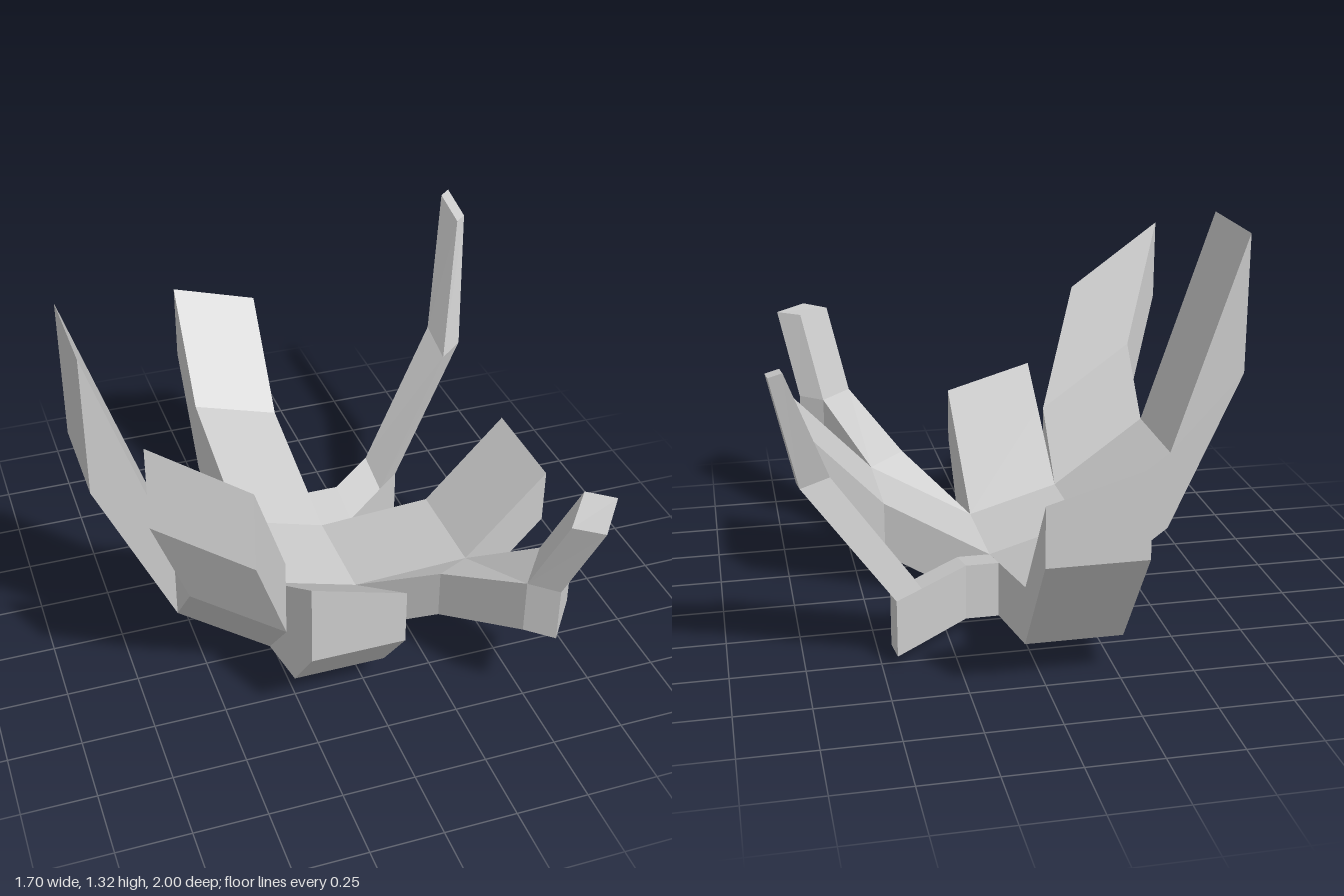
import * as THREE from 'three';

const material = new THREE.MeshStandardMaterial({ color: 0xcccccc, flatShading: true });

// Upright four-corner section: two plan positions, each with a bottom and top height
const section = (x0, z0, x1, z1, b0, t0, b1 = b0, t1 = t0) =>
  [[x0, b0, z0], [x1, b1, z1], [x1, t1, z1], [x0, t0, z0]];

// Skins a run of four-corner sections; the end is capped, the start only on request
function loft(name, rings, capStart = false) {
  const tris = [];
  const quad = (a, b, c, d) => tris.push([a, b, c], [a, c, d]);
  for (let r = 0; r < rings.length - 1; r++) {
    for (let i = 0; i < 4; i++) {
      const j = (i + 1) % 4;
      quad(rings[r][i], rings[r][j], rings[r + 1][j], rings[r + 1][i]);
    }
  }
  quad(...rings[rings.length - 1]);
  quad(...[...rings[0]].reverse());

  // Turn all faces outward using the sign of the enclosed volume
  const v = (p) => new THREE.Vector3(...p);
  let volume = 0;
  for (const [a, b, c] of tris) volume += v(a).dot(v(b).cross(v(c)));
  if (!capStart) tris.splice(-2);
  if (volume < 0) tris.forEach((t) => t.reverse());

  const geometry = new THREE.BufferGeometry();
  geometry.setAttribute('position', new THREE.Float32BufferAttribute(tris.flat(2), 3));
  geometry.computeVertexNormals();
  const mesh = new THREE.Mesh(geometry, material);
  mesh.name = name;
  return mesh;
}

export function createModel() {
  const group = new THREE.Group();
  group.name = 'branchingClaw';

  // Bounds of the central block; its top slopes down towards +x
  const X0 = -0.26, X1 = 0.065, Z0 = -0.14, Z1 = 0.235, H0 = 0.295, H1 = 0.2;

  // Sections across x (for front/back arms) and across z (for side arms)
  const acrossX = (z, b, lift = b) => section(X0, z, X1, z, b, H0 + lift, b, H1 + lift);
  const acrossZ = (x, z0, z1, b, t) => section(x, z0, x, z1, b, t);

  group.add(loft('centralBlock', [acrossX(Z0, 0), acrossX(Z1, 0)], true));

  // Broad arms
  group.add(loft('backArm', [acrossX(Z0, 0), acrossX(-0.73, 0.145), acrossX(-1, 0.53)]));
  group.add(loft('frontArm', [acrossX(Z1, 0), acrossX(0.53, 0.1, 0.206), acrossX(0.715, 0.335)]));
  group.add(loft('rightArm', [
    acrossZ(X0, Z0, Z1, 0, H0),
    acrossZ(-0.59, Z0, Z1, 0.245, 0.535),
    acrossZ(-0.85, Z0, Z1, 0.815, 1.315),
  ]));
  group.add(loft('leftArm', [
    acrossZ(X1, Z0, Z1, 0, H1),
    acrossZ(0.415, 0.025, 0.397, 0.155, 0.355),
    acrossZ(0.7, 0.025, 0.397, 0.46, 0.655),
  ]));

  // Branch growing forward from the side of the right arm
  const branchSection = (z, dx, dy) =>
    section(-0.59 + dx, z, X0 + dx, z, 0.245 + dy, 0.535 + dy, dy, H0 + dy);
  group.add(loft('rightArmBranch', [
    branchSection(Z1, 0, 0),
    branchSection(0.44, 0, 0.235),
    branchSection(0.605, -0.148, 0.667),
  ]));

  // Front limb: grows from the side of the left arm, then turns upward
  group.add(loft('frontLimbBase', [
    section(X1, Z1, 0.415, 0.397, 0, H1, 0.155, 0.355),
    section(0.285, 0.48, 0.415, 0.397, 0.2, 0.38, 0.155, 0.355),
    section(0.45, 0.8, 0.565, 0.65, 0.345, 0.54, 0.355, 0.55),
    section(0.535, 0.875, 0.65, 0.72, 0.345, 0.54, 0.355, 0.55),
  ]));
  group.add(loft('frontLimbTip', [
    [[0.45, 0.54, 0.8], [0.535, 0.54, 0.875], [0.65, 0.55, 0.72], [0.565, 0.55, 0.65]],
    [[0.515, 0.843, 0.93], [0.6, 0.847, 1], [0.715, 0.857, 0.85], [0.63, 0.858, 0.785]],
  ]));

  // Back limb: leaves the back arm sideways, then rises in two lengths
  const stub = (x, zNear, zFar) => section(x, zNear, x, zFar, 0, 0.2, 0.04, 0.24);
  group.add(loft('backLimbBase', [
    stub(X1, Z0, -0.305),
    stub(0.18, Z0, -0.305),
    stub(0.355, -0.29, -0.455),
    stub(0.45, -0.37, -0.535),
  ]));
  group.add(loft('backLimbTip', [
    [[0.355, 0.2, -0.29], [0.45, 0.2, -0.37], [0.45, 0.24, -0.535], [0.355, 0.24, -0.455]],
    [[0.655, 0.665, -0.425], [0.755, 0.667, -0.51], [0.755, 0.71, -0.67], [0.655, 0.71, -0.59]],
    [[0.8, 1.1, -0.685], [0.845, 1.1, -0.725], [0.845, 1.137, -0.89], [0.8, 1.137, -0.85]],
  ]));

  return group;
}
